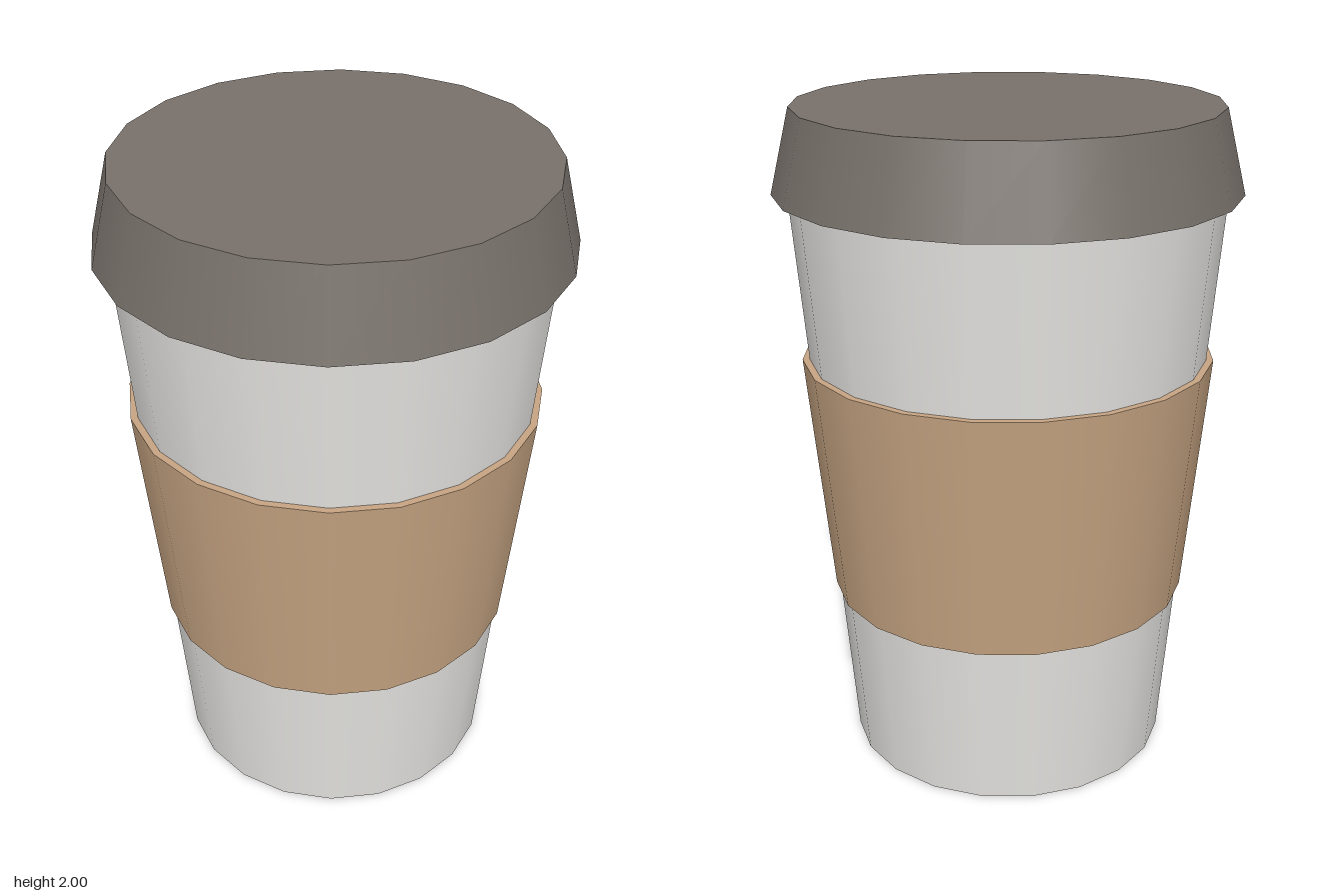
import * as THREE from 'three';

const SIDES = 20;

function material(name, color) {
  const m = new THREE.MeshStandardMaterial({ color });
  m.name = name;
  return m;
}

// Closed tapered drum standing between two heights
function taper(name, mat, bottomRadius, topRadius, bottomY, topY) {
  const height = topY - bottomY;
  const mesh = new THREE.Mesh(new THREE.CylinderGeometry(topRadius, bottomRadius, height, SIDES), mat);
  mesh.position.y = bottomY + height / 2;
  mesh.name = name;
  return mesh;
}

export function createModel() {
  const paper = material('white paper', 0xe6e5e2);
  const card = material('tan cardboard', 0xc6a482);
  const plastic = material('dark lid plastic', 0x78716b);

  const cup = new THREE.Group();
  cup.name = 'takeawayCup';
  cup.add(
    taper('cupBody', paper, 0.49, 0.635, 0, 1.76),
    taper('sleeve', card, 0.545, 0.615, 0.52, 1.26),
    taper('lid', plastic, 0.68, 0.62, 1.755, 2)
  );
  return cup;
}
